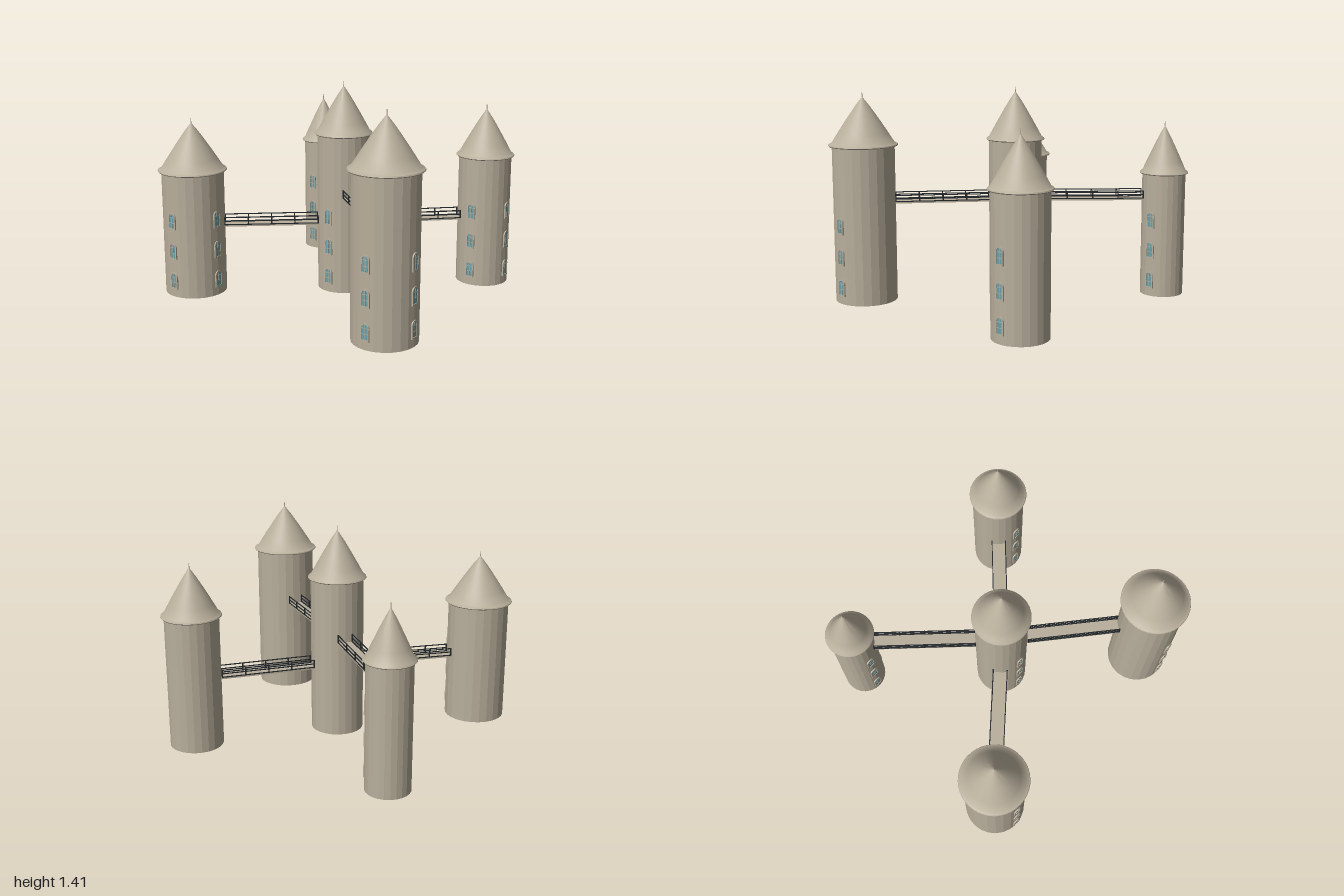
import * as THREE from 'three';
import { toCreasedNormals } from 'three/addons/utils/BufferGeometryUtils.js';

const stone = new THREE.MeshStandardMaterial({ color: 0xb8ae9b, side: THREE.DoubleSide });
stone.name = 'stone';
const iron = new THREE.MeshStandardMaterial({ color: 0x23282b });
iron.name = 'dark iron';
const glass = new THREE.MeshStandardMaterial({ color: 0x6a9ea6 });
glass.name = 'window glass';

// x, z, body radius, rim radius, height of the eave
const CENTRE = { x: 0, z: 0, r: 0.177, rim: 0.195, h: 1.062 };
const OUTER = [
  { x: 0.77, z: 0.652, r: 0.206, rim: 0.229, h: 1.035, deck: 0.652 },
  { x: -0.77, z: 0.652, r: 0.206, rim: 0.229, h: 0.829, deck: 0.448 },
  { x: 0.704, z: -0.685, r: 0.178, rim: 0.197, h: 0.885, deck: 0.448 },
  { x: -0.707, z: -0.718, r: 0.145, rim: 0.163, h: 0.829, deck: 0.652 },
];

function add(parent, name, geometry, material, x = 0, y = 0, z = 0) {
  const mesh = new THREE.Mesh(geometry, material);
  mesh.name = name;
  mesh.position.set(x, y, z);
  parent.add(mesh);
  return mesh;
}

function flat(geometry) {
  const g = geometry.toNonIndexed();
  g.computeVertexNormals();
  return g;
}

// Round-headed outline, standing on y = bottom
function arch(Kind, half, bottom, spring) {
  const s = new Kind();
  s.moveTo(-half, bottom);
  s.lineTo(half, bottom);
  s.lineTo(half, spring);
  s.absarc(0, spring, half, 0, Math.PI, false);
  s.lineTo(-half, bottom);
  return s;
}

// Arched window centred on the origin, facing +z
function makeWindow() {
  const group = new THREE.Group();
  group.name = 'window';
  const outline = arch(THREE.Shape, 0.03, -0.056, 0.027);
  outline.holes.push(arch(THREE.Path, 0.021, -0.047, 0.027));
  const frame = new THREE.ExtrudeGeometry(outline, { depth: 0.014, bevelEnabled: false, curveSegments: 8 });
  add(group, 'windowFrame', frame, stone, 0, 0, -0.008);
  const pane = new THREE.ExtrudeGeometry(arch(THREE.Shape, 0.022, -0.048, 0.027),
    { depth: 0.006, bevelEnabled: false, curveSegments: 8 });
  add(group, 'windowPane', pane, glass, 0, 0, -0.004);
  // Glazing bars
  add(group, 'uprightBar', new THREE.BoxGeometry(0.004, 0.094, 0.004), stone, 0, 0, 0.002);
  for (const y of [-0.012, 0.024]) {
    add(group, 'crossBar', new THREE.BoxGeometry(0.042, 0.003, 0.004), stone, 0, y, 0.002);
  }
  return group;
}

function makeTower({ x, z, r, rim, h }, name) {
  const tower = new THREE.Group();
  tower.name = name;
  tower.position.set(x, 0, z);
  // Faceted wall, open below
  const wall = new THREE.CylinderGeometry(r, r, h + 0.01, 24, 1, true);
  add(tower, 'wall', flat(wall), stone, 0, (h + 0.01) / 2, 0);

  // Rounded eave moulding flowing into a gently swelling cone
  const eave = [[r * 0.95, 0], [rim - 0.006, 0], [rim, 0.006], [rim - 0.003, 0.013], [r, 0.023]];
  const points = eave.map(([px, py]) => new THREE.Vector2(px, py));
  for (let i = 1; i <= 5; i++) {
    const t = i / 5;
    points.push(new THREE.Vector2(r * Math.pow(1 - t, 0.92), 0.023 + 0.3 * t));
  }
  add(tower, 'roof', toCreasedNormals(new THREE.LatheGeometry(points, 40), 0.6), stone, 0, h, 0);
  add(tower, 'finial', new THREE.CylinderGeometry(0.002, 0.004, 0.05, 8), stone, 0, h + 0.327, 0);

  // Three windows on the front and three on the left side
  for (const y of [0.112, 0.318, 0.524]) {
    const front = makeWindow();
    front.position.set(0, y, r);
    const side = makeWindow();
    side.position.set(r, y, 0);
    side.rotation.y = Math.PI / 2;
    tower.add(front, side);
  }
  return tower;
}

// Walkway from the central tower to an outer one, built along local +x
function makeBridge({ x, z, r, deck }) {
  const bridge = new THREE.Group();
  bridge.name = 'bridge';
  bridge.position.y = deck;
  bridge.rotation.y = Math.atan2(-z, x);
  const start = CENTRE.r - 0.004;
  const end = Math.hypot(x, z) - r + 0.004;
  const length = end - start;
  const mid = (start + end) / 2;
  add(bridge, 'deck', new THREE.BoxGeometry(length, 0.01, 0.1), stone, mid, 0.005, 0);
  for (const side of [-0.048, 0.048]) {
    for (const y of [0.013, 0.037, 0.062]) {
      add(bridge, 'rail', new THREE.BoxGeometry(length, 0.006, 0.006), iron, mid, y, side);
    }
    for (let i = 0; i < 5; i++) {
      const px = start + 0.004 + (length - 0.008) * i / 4;
      add(bridge, 'railPost', new THREE.BoxGeometry(0.008, 0.055, 0.008), iron, px, 0.0375, side);
    }
  }
  return bridge;
}

export function createModel() {
  const model = new THREE.Group();
  model.name = 'linkedTowers';
  model.add(makeTower(CENTRE, 'centralTower'));
  for (const t of OUTER) {
    model.add(makeTower(t, 'outerTower'), makeBridge(t));
  }
  return model;
}
